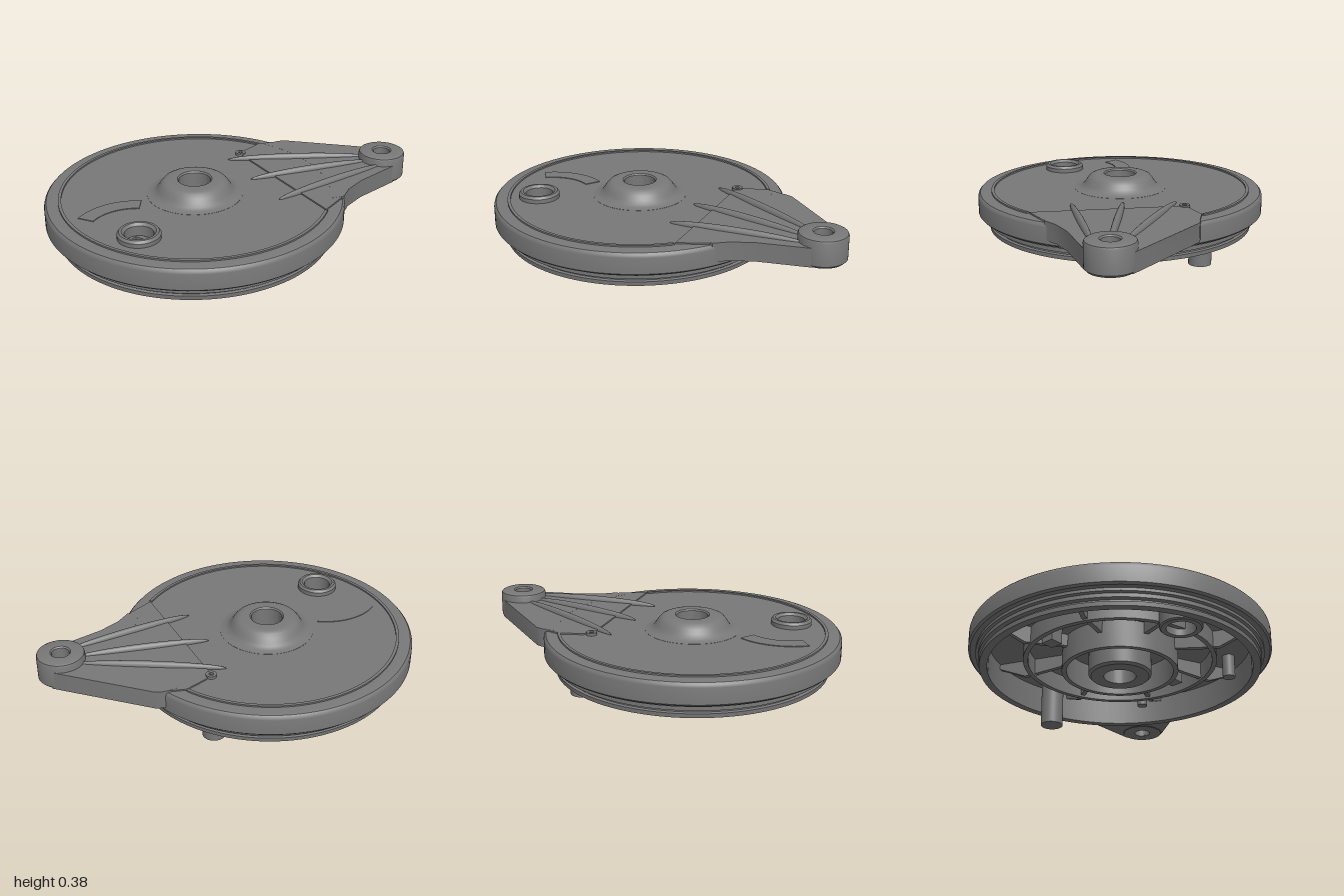
import * as THREE from 'three';
import { toCreasedNormals } from 'three/addons/utils/BufferGeometryUtils.js';

const CX = -0.22;          // disc axis
const TOP = 0.30;          // top face of the disc
const ARM = { x: 0.87, z: 0.2 };
const PORT = { x: -0.69, z: 0.265 };

export function createModel() {
  const model = new THREE.Group();
  const metal = new THREE.MeshStandardMaterial({ color: 0x787878 });
  metal.name = 'castGrey';

  const add = (name, geo, x = 0, y = 0, z = 0, parent = model) => {
    const mesh = new THREE.Mesh(geo, metal);
    mesh.name = name;
    mesh.position.set(x, y, z);
    parent.add(mesh);
    return mesh;
  };
  // Closed profile of [radius, y], running up the outside and down the inside
  const turned = (pts, seg = 64) => toCreasedNormals(new THREE.LatheGeometry(
    [...pts, pts[0]].map(([r, y]) => new THREE.Vector2(r, y)), seg), 0.6);
  const ring = (rIn, rOut, y0, y1, seg) =>
    turned([[rIn, y0], [rOut, y0], [rOut, y1], [rIn, y1]], seg);
  // Flat shape in (x, z), extruded downwards from y = top
  const slab = (shape, top, depth) => {
    const geo = new THREE.ExtrudeGeometry(shape, { depth, bevelEnabled: false, curveSegments: 64 });
    geo.rotateX(Math.PI / 2).translate(0, top, 0);
    return toCreasedNormals(geo, 0.5);
  };
  const circle = (x, z, r) => new THREE.Path().absarc(x, z, r, 0, Math.PI * 2, true);
  const polygon = (pts) => new THREE.Shape(pts.map(([x, z]) => new THREE.Vector2(x, z)));
  const arcBand = (x, z, rIn, rOut, a0, a1) => {
    const s = new THREE.Shape();
    s.absarc(x, z, rOut, a0, a1, false);
    s.absarc(x, z, rIn, a1, a0, true);
    s.closePath();
    return s;
  };

  // Stepped outer rim with its grooved lower spigot
  add('rim', turned([
    [0.68, 0.10], [0.72, 0.10], [0.722, 0.122], [0.708, 0.126], [0.708, 0.136],
    [0.728, 0.14], [0.728, 0.16], [0.742, 0.165], [0.742, 0.18], [0.77, 0.18],
    [0.78, 0.19], [0.78, 0.275], [0.777, 0.287], [0.768, 0.297], [0.755, TOP], [0.68, TOP],
  ], 128), CX);

  // Web of the disc, open at the hub and the port
  const web = new THREE.Shape().absarc(CX, 0, 0.69, 0, Math.PI * 2, false);
  web.holes.push(circle(CX, 0, 0.14), circle(PORT.x, PORT.z, 0.09));
  add('discWeb', slab(web, TOP, 0.05));

  // Raised lip that stops either side of the arm
  const a0 = 50 * Math.PI / 180, a1 = 332 * Math.PI / 180;
  add('topLip', slab(arcBand(CX, 0, 0.692, 0.708, a0, a1), TOP + 0.008, 0.02));

  // Central hub with a flared base and a through bore
  add('hub', turned([
    [0.083, 0.08], [0.15, 0.08], [0.162, 0.092], [0.162, 0.27], [0.25, 0.295],
    [0.25, 0.301], [0.225, 0.306], [0.205, 0.316], [0.193, 0.332], [0.18, 0.353],
    [0.165, 0.37], [0.148, 0.378], [0.13, 0.381], [0.09, 0.381], [0.083, 0.374],
  ]), CX);

  // Port tube passing through the web
  add('portTube', turned([
    [0.072, 0.12], [0.098, 0.12], [0.105, 0.127], [0.108, 0.322], [0.098, 0.335],
    [0.085, 0.335], [0.072, 0.322],
  ], 40), PORT.x, 0, PORT.z);

  // Arm reaching out from the rim, ending in a drilled boss
  const arm = polygon([
    [0.42, -0.29], [0.51, -0.295], [0.55, -0.28], [0.955, 0.11], [0.92, 0.2],
    [0.86, 0.322], [0.59, 0.37], [0.47, 0.415], [0.40, 0.465], [0.33, 0.455],
  ]);
  const inner = [];
  for (let i = 0; i <= 12; i++) {
    const a = 0.68 - i * (0.68 + 0.43) / 12;
    inner.push(new THREE.Vector2(CX + 0.71 * Math.cos(a), 0.71 * Math.sin(a)));
  }
  const armShape = new THREE.Shape([...arm.getPoints().slice(1, 9), ...inner]);
  armShape.holes.push(circle(ARM.x, ARM.z, 0.07));
  add('arm', slab(armShape, TOP + 0.008, 0.1));
  add('armPad', slab(polygon([
    [0.235, 0.53], [0.235, -0.26], [0.28, -0.29], [0.40, -0.325],
    [0.51, -0.29], [0.56, 0.0], [0.50, 0.33], [0.38, 0.47],
  ]), TOP + 0.0075, 0.02));
  add('armBoss', turned([
    [0.046, 0.205], [0.112, 0.205], [0.125, 0.218], [0.125, 0.338], [0.121, 0.348],
    [0.11, 0.354], [0.053, 0.354], [0.046, 0.347],
  ], 48), ARM.x, 0, ARM.z);

  // Three spindle-shaped stiffeners along the arm
  [[0.14, -0.245, 0.82, 0.14], [0.11, 0.03, 0.80, 0.195], [0.10, 0.305, 0.82, 0.27]]
    .forEach(([x0, z0, x1, z1]) => {
      const dx = x1 - x0, dz = z1 - z0;
      const rib = add('armRib', new THREE.SphereGeometry(1, 32, 16), (x0 + x1) / 2, 0.302, (z0 + z1) / 2);
      rib.scale.set(Math.hypot(dx, dz) / 2, 0.03, 0.02);
      rib.rotation.y = -Math.atan2(dz, dx);
    });

  // Small top details
  add('curvedPad', slab(arcBand(-0.68, 0.19, 0.225, 0.31,
    -Math.PI / 2 - 0.61, -Math.PI / 2 + 0.61), TOP + 0.004, 0.008));
  add('screwRing', ring(0.012, 0.028, 0.29, 0.315, 24), 0.24, 0, -0.27);

  // Underside: concentric walls and radial fins
  add('innerWall', ring(0.275, 0.30, 0.105, 0.27), CX);
  add('outerWall', ring(0.475, 0.50, 0.155, 0.27), CX);
  const fin = polygon([
    [0.285, 0.27], [0.285, 0.19], [0.48, 0.165], [0.53, 0.16], [0.685, 0.225], [0.685, 0.27],
  ]);
  for (let i = 0; i < 8; i++) {
    const geo = new THREE.ExtrudeGeometry(fin, { depth: 0.024, bevelEnabled: false });
    geo.translate(0, 0, -0.012);
    add('radialFin', geo, CX).rotation.y = (i + 0.5) * Math.PI / 4;
  }

  // Pivot pin and short posts hanging below the web
  const post = (name, x, z, r, y0) =>
    add(name, new THREE.CylinderGeometry(r, r, 0.27 - y0, 32), x, (0.27 + y0) / 2, z);
  post('pivotPin', 0.265, -0.35, 0.06, 0);
  post('post', -0.135, 0.58, 0.033, 0.13);
  post('post', 0.36, 0.16, 0.028, 0.17);
  [[-0.42, -0.35], [0.01, 0.30]].forEach(([x, z]) => {
    add('stopBlock', new THREE.BoxGeometry(0.07, 0.1, 0.07), x, 0.21, z).rotation.y = Math.PI / 4;
  });
  return model;
}
